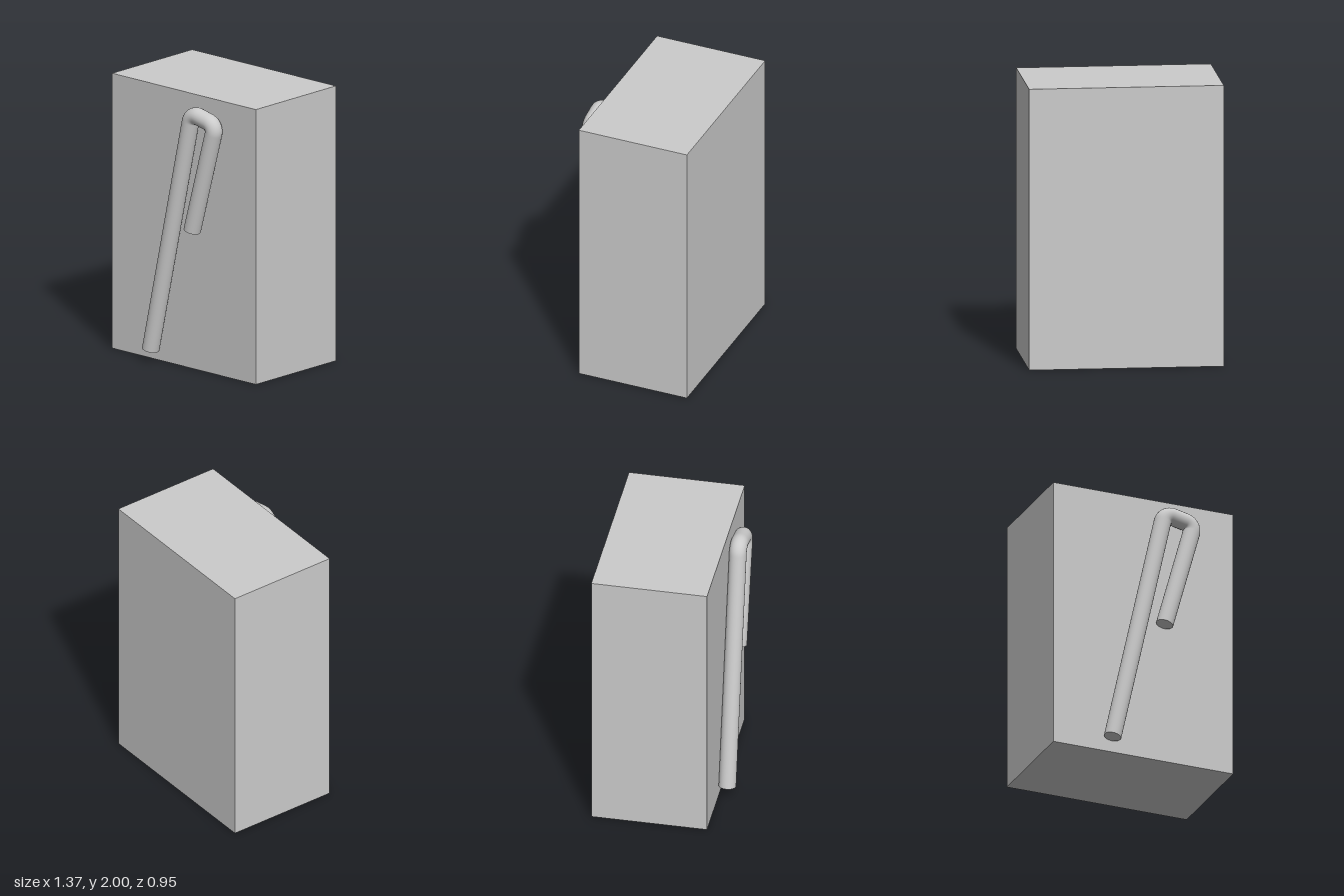
import * as THREE from 'three';

const material = new THREE.MeshStandardMaterial({ color: 0xcccccc });

export function createModel() {
  const model = new THREE.Group();
  model.name = 'canePanel';

  // Solid upright block
  const block = new THREE.Mesh(new THREE.BoxGeometry(1.37, 2, 0.825), material);
  block.name = 'block';
  block.position.set(0, 1, -0.0625);
  model.add(block);

  // Cane centreline: long shaft, short top, hook end
  const z = 0.412, radius = 0.0615, bend = 0.066;
  const corners = [[-0.26, 0.088], [0.134, 1.881], [0.356, 1.832], [0.136, 1.028]]
    .map(([x, y]) => new THREE.Vector3(x, y, z));
  const toward = (a, b, d) => b.clone().sub(a).setLength(d).add(a);

  const path = new THREE.CurvePath();
  let from = corners[0];
  for (let i = 1; i < corners.length - 1; i++) {
    const [prev, c, next] = corners.slice(i - 1, i + 2);
    const start = toward(c, prev, bend), end = toward(c, next, bend);
    path.add(new THREE.LineCurve3(from, start));
    // Near-circular rounded corner
    path.add(new THREE.CubicBezierCurve3(
      start, toward(c, prev, bend * 0.448), toward(c, next, bend * 0.448), end));
    from = end;
  }
  path.add(new THREE.LineCurve3(from, corners[3]));

  const cane = new THREE.Group();
  cane.name = 'cane';
  const rod = new THREE.Mesh(new THREE.TubeGeometry(path, 240, radius, 24), material);
  rod.name = 'caneRod';
  cane.add(rod);

  // Flat caps on both open ends
  [['shaftCap', corners[0], corners[1]], ['hookCap', corners[3], corners[2]]].forEach(([name, end, inner]) => {
    const cap = new THREE.Mesh(new THREE.CircleGeometry(radius, 24), material);
    cap.name = name;
    cap.position.copy(end);
    cap.quaternion.setFromUnitVectors(new THREE.Vector3(0, 0, 1), end.clone().sub(inner).normalize());
    cane.add(cap);
  });
  model.add(cane);

  return model;
}
